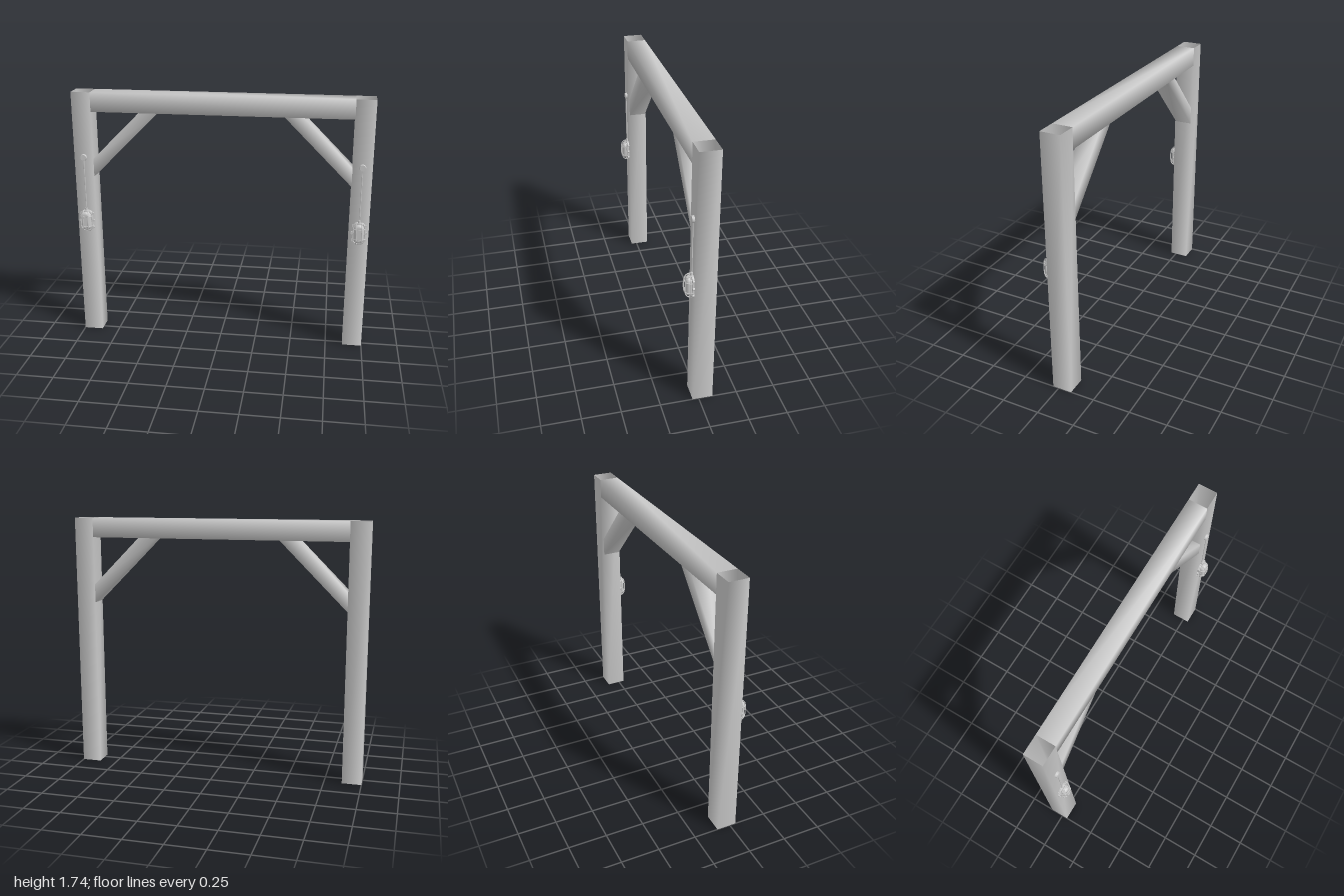
import * as THREE from 'three';

const grey = new THREE.MeshStandardMaterial({ color: 0xcccccc });
const thin = new THREE.MeshStandardMaterial({ color: 0xcccccc, side: THREE.DoubleSide });
const Z0 = -0.09, Z1 = 0.04, IN = 0.87, TOP = 1.74, UNDER = 1.61;

function add(parent, name, geometry, x = 0, y = 0, z = 0, material = grey) {
  const mesh = new THREE.Mesh(geometry, material);
  mesh.name = name;
  mesh.position.set(x, y, z);
  parent.add(mesh);
  return mesh;
}

// Open-ended four-sided timber between two rings of corners, shaded softly round its edges
function timber(a, b) {
  const geometry = new THREE.BufferGeometry();
  geometry.setAttribute('position', new THREE.Float32BufferAttribute([...a, ...b].flat(), 3));
  const index = [];
  for (let i = 0; i < 4; i++) {
    const j = (i + 1) % 4;
    index.push(i, j, j + 4, i, j + 4, i + 4);
  }
  geometry.setIndex(index);
  geometry.computeVertexNormals();
  return geometry;
}

// Ring of corners from a lower and an upper point, spread over the depth z0..z1
const ring = ([lx, ly], [hx, hy], z0, z1) =>
  [[lx, ly, z0], [hx, hy, z0], [hx, hy, z1], [lx, ly, z1]];

function roundedRect(w, h, r) {
  const s = new THREE.Shape(), x = w / 2, y = h / 2;
  s.absarc(x - r, y - r, r, 0, Math.PI / 2);
  s.absarc(r - x, y - r, r, Math.PI / 2, Math.PI);
  s.absarc(r - x, r - y, r, Math.PI, Math.PI * 1.5);
  s.absarc(x - r, r - y, r, Math.PI * 1.5, Math.PI * 2);
  return s;
}

function wire(points, closed = false) {
  const curve = new THREE.CatmullRomCurve3(points.map(p => new THREE.Vector3(...p)), closed, 'centripetal');
  return new THREE.TubeGeometry(curve, 28, 0.0035, 6, closed);
}

// Caged bulkhead lamp with its cable and round junction box
function makeLamp() {
  const lamp = new THREE.Group();
  lamp.name = 'lamp';

  const plate = new THREE.ExtrudeGeometry(roundedRect(0.078, 0.145, 0.03), {
    depth: 0.01, bevelThickness: 0.003, bevelSize: 0.003, bevelSegments: 2, curveSegments: 6 });
  add(lamp, 'backPlate', plate, 0, 0.845, 0.04);

  const glass = new THREE.ExtrudeGeometry(roundedRect(0.03, 0.095, 0.0149), {
    depth: 0.012, bevelThickness: 0.02, bevelSize: 0.018, bevelSegments: 5, curveSegments: 6 });
  add(lamp, 'glass', glass, 0, 0.845, 0.052);

  // Wire cage
  const cage = new THREE.Group();
  cage.name = 'cage';
  cage.position.y = 0.845;
  lamp.add(cage);
  const outline = roundedRect(0.078, 0.142, 0.03).getPoints(4).slice(0, -1).map(p => [p.x, p.y, 0.06]);
  const unique = outline.filter((p, i) => i === 0 || Math.hypot(p[0] - outline[i - 1][0], p[1] - outline[i - 1][1]) > 1e-5);
  add(cage, 'cageRing', wire(unique, true));
  for (const y of [-0.035, 0.035]) {
    add(cage, 'cageHoop', wire([[-0.041, y, 0.045], [-0.037, y, 0.07], [-0.022, y, 0.086],
      [0.022, y, 0.086], [0.037, y, 0.07], [0.041, y, 0.045]]));
  }
  for (const x of [-0.018, 0.018]) {
    add(cage, 'cageBar', wire([[x, -0.074, 0.045], [x, -0.069, 0.07], [x, -0.05, 0.086],
      [x, 0.05, 0.086], [x, 0.069, 0.07], [x, 0.074, 0.045]]));
  }

  // Fixing lugs on both sides
  for (const x of [-1, 1]) for (const y of [-0.05, 0, 0.05]) {
    const lug = new THREE.CylinderGeometry(0.009, 0.009, 0.012, 10).rotateX(Math.PI / 2);
    add(lamp, 'lug', lug, x * (y ? 0.04 : 0.046), 0.845 + y, 0.046);
  }

  // Cable and its fittings
  add(lamp, 'cableGland', new THREE.CylinderGeometry(0.007, 0.009, 0.018, 10), 0, 0.926, 0.047);
  add(lamp, 'cable', new THREE.CylinderGeometry(0.0035, 0.0035, 0.37, 8), 0, 1.11, 0.046);
  const box = new THREE.CylinderGeometry(0.02, 0.023, 0.016, 20).rotateX(Math.PI / 2);
  add(lamp, 'junctionBox', box, 0, 1.295, 0.047);
  return lamp;
}

export function createModel() {
  const model = new THREE.Group();
  model.name = 'timberGate';

  // Posts, open at top and bottom
  const postRing = y => [[0.065, y, Z1], [0.065, y, Z0], [-0.065, y, Z0], [-0.065, y, Z1]];
  const post = timber(postRing(0), postRing(TOP));

  // Diagonal braces, cut plumb at the post and level at the beam
  const brace = side => {
    const foot = ring([side * IN, 1.16], [side * IN, 1.285], Z0 + 0.006, Z1 - 0.006);
    const head = ring([side * 0.42, UNDER], [side * 0.545, UNDER], Z0 + 0.006, Z1 - 0.006);
    return side < 0 ? timber(foot, head) : timber(head, foot);
  };

  for (const side of [-1, 1]) {
    const name = side > 0 ? 'left' : 'right';
    add(model, name + 'Post', post, side * 0.935, 0, 0, thin);
    add(model, name + 'Brace', brace(side), 0, 0, 0, thin);
    const lamp = makeLamp();
    lamp.name = name + 'Lamp';
    lamp.position.x = side * 0.935;
    model.add(lamp);
  }

  // Cross beam between the posts
  const beam = timber(ring([-IN, UNDER], [-IN, TOP], Z0, Z1), ring([IN, UNDER], [IN, TOP], Z0, Z1));
  add(model, 'crossBeam', beam, 0, 0, 0, thin);
  return model;
}
